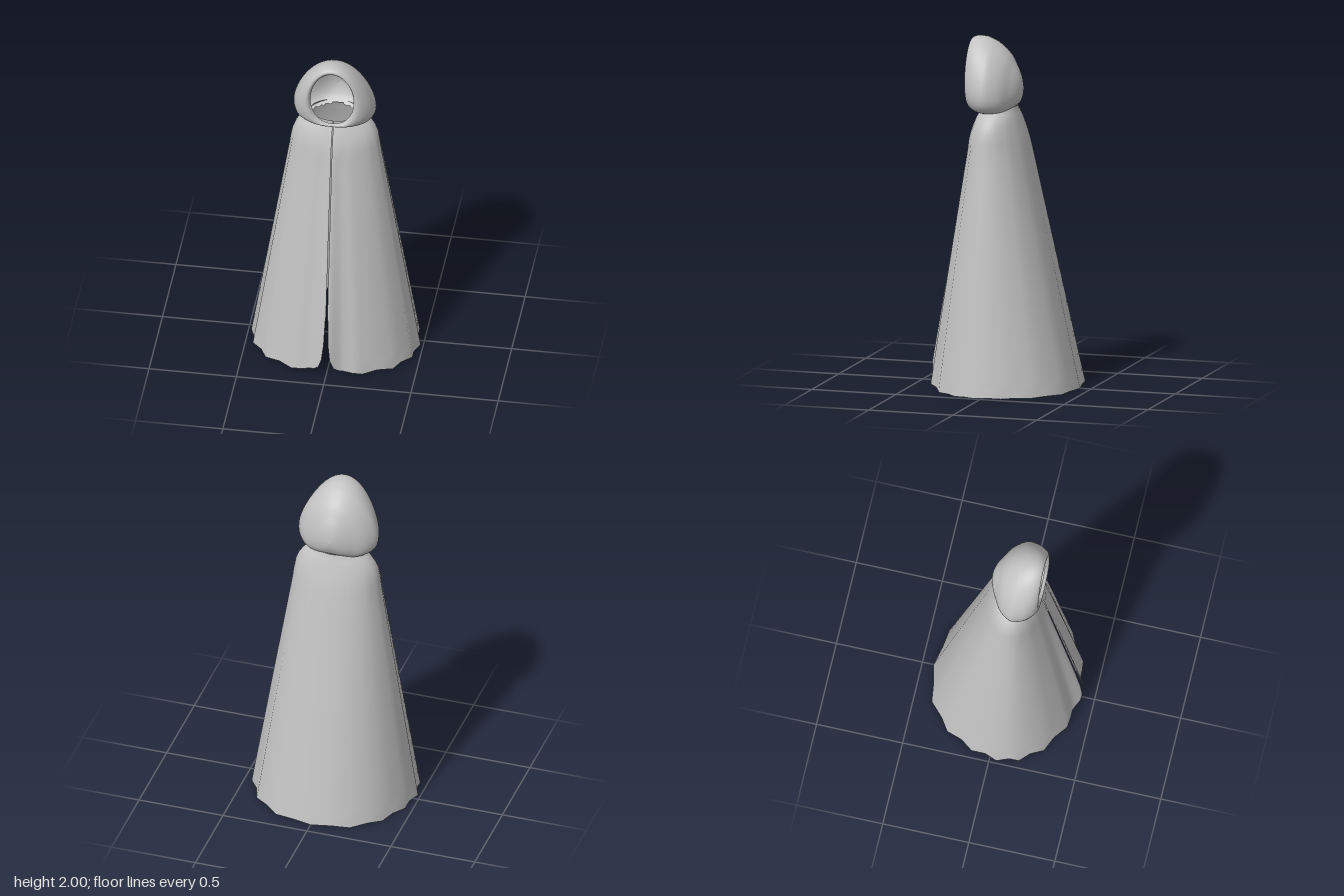
import * as THREE from 'three';

const cloth = new THREE.MeshStandardMaterial({ color: 0xc2c2c2, side: THREE.DoubleSide });
cloth.name = 'grey cloth';

// Surface from rows of points; skip(centre) may leave out a quad
function loft(name, rows, closed, skip = () => false) {
  const n = rows[0].length, index = [];
  const flat = rows.flat();
  for (let r = 0; r < rows.length - 1; r++) {
    for (let c = 0; c < (closed ? n : n - 1); c++) {
      const a = r * n + c, b = r * n + (c + 1) % n, d = a + n, e = b + n;
      const centre = [0, 1, 2].map(k => (flat[a][k] + flat[b][k] + flat[d][k] + flat[e][k]) / 4);
      if (!skip(centre)) index.push(a, b, e, a, e, d);
    }
  }
  const geo = new THREE.BufferGeometry();
  geo.setAttribute('position', new THREE.Float32BufferAttribute(flat.flat(), 3));
  geo.setIndex(index);
  geo.computeVertexNormals();
  const mesh = new THREE.Mesh(geo, cloth);
  mesh.name = name;
  return mesh;
}

// Half outline of the pleated hem, from the front slit round to the back: x, z
const hem = [
  [0.005, 0.455], [0.008, 0.457], [0.014, 0.457], [0.025, 0.455], [0.045, 0.44], [0.07, 0.418],
  [0.1, 0.4], [0.15, 0.397], [0.205, 0.39], [0.28, 0.33], [0.365, 0.29], [0.4, 0.22],
  [0.457, 0.165], [0.457, 0.11], [0.485, 0.04], [0.457, -0.03], [0.457, -0.11], [0.405, -0.18],
  [0.375, -0.27], [0.3, -0.32], [0.22, -0.395], [0.11, -0.41], [0, -0.435],
];

// Cape sections: y, half width, front z, back z, pleat strength
const levels = [
  [0, 0.485, 0.46, -0.435, 1],
  [1.36, 0.264, 0.22, -0.13, 0.5],
  [1.42, 0.256, 0.21, -0.115, 0.3],
  [1.47, 0.246, 0.195, -0.1, 0.15],
  [1.51, 0.23, 0.18, -0.086, 0.06],
  [1.545, 0.207, 0.165, -0.075, 0],
  [1.57, 0.178, 0.153, -0.066, 0],
  [1.585, 0.158, 0.148, -0.06, 0],
  [1.605, 0.145, 0.15, -0.055, 0],
];

function section(y) {
  let i = 0;
  while (i < levels.length - 2 && levels[i + 1][0] < y) i++;
  const a = levels[i], b = levels[i + 1], t = (y - a[0]) / (b[0] - a[0]);
  return a.map((v, k) => v + (b[k] - v) * t);
}

function capePoint([hx, hz], y, side) {
  const [, w, front, back, pleat] = section(y);
  const nx = hx / 0.485, nz = (hz - 0.0125) / 0.4475;
  const r = Math.hypot(nx, nz);
  const m = pleat + (1 - pleat) / r; // fade the pleats into a plain oval
  return [side * nx * m * w, y, (front + back) / 2 + nz * m * (front - back) / 2];
}

function makeCape() {
  const columns = [
    ...hem.map(p => [p, 1]),
    ...hem.slice(0, -1).reverse().map(p => [p, -1]),
  ];
  const rows = [];
  const straight = 14;
  for (let i = 0; i <= straight; i++) {
    rows.push(columns.map(([p, side]) => {
      // the hem sweeps up beside the front slit
      const low = p[1] > 0.3 && p[0] < 0.3 ? Math.min(0.4, 0.003 / p[0]) : 0;
      return capePoint(p, low + (1.36 - low) * i / straight, side);
    }));
  }
  for (const [y] of levels.slice(2)) rows.push(columns.map(([p, side]) => capePoint(p, y, side)));
  return loft('cape', rows, false);
}

// Hood rings from the face opening to the back: z, half width, egg power, top, bottom
const rings = [
  [0.185, 0.124, 1.1, 1.953, 1.612],
  [0.203, 0.136, 1.22, 1.97, 1.606],
  [0.2, 0.163, 1.45, 1.988, 1.598],
  [0.165, 0.202, 1.7, 2.0, 1.583],
  [0.12, 0.226, 1.85, 1.996, 1.572],
  [0.065, 0.235, 1.9, 1.972, 1.57],
  [0.0, 0.195, 1.85, 1.92, 1.575],
  [-0.05, 0.12, 1.7, 1.845, 1.605],
  [-0.082, 0.056, 1.4, 1.775, 1.65],
  [-0.095, 0, 1, 1.7, 1.7],
];

function makeHood() {
  const depth = new THREE.CatmullRomCurve3(rings.map(r => new THREE.Vector3(r[0], r[1], r[2])));
  const height = new THREE.CatmullRomCurve3(rings.map(r => new THREE.Vector3(r[3], r[4], 0)));
  const rows = [], steps = 36, around = 56;
  for (let i = 0; i <= steps; i++) {
    const d = depth.getPoint(i / steps), h = height.getPoint(i / steps);
    rows.push(Array.from({ length: around }, (_, k) => {
      const a = k / around * Math.PI * 2;
      const f = Math.pow(Math.max(0, (1 + Math.cos(a)) / 2), d.z);
      return [-Math.sin(a) * Math.max(0, d.y), h.y + (h.x - h.y) * f, d.x];
    }));
  }
  // leave the neck open below
  const neck = ([x, y, z]) => y < 1.64 && Math.hypot(x / 0.135, (z - 0.05) / 0.088) < 1;
  return loft('hood', rows, true, neck);
}

export function createModel() {
  const cloak = new THREE.Group();
  cloak.name = 'hoodedCloak';
  cloak.add(makeCape(), makeHood());
  return cloak;
}
